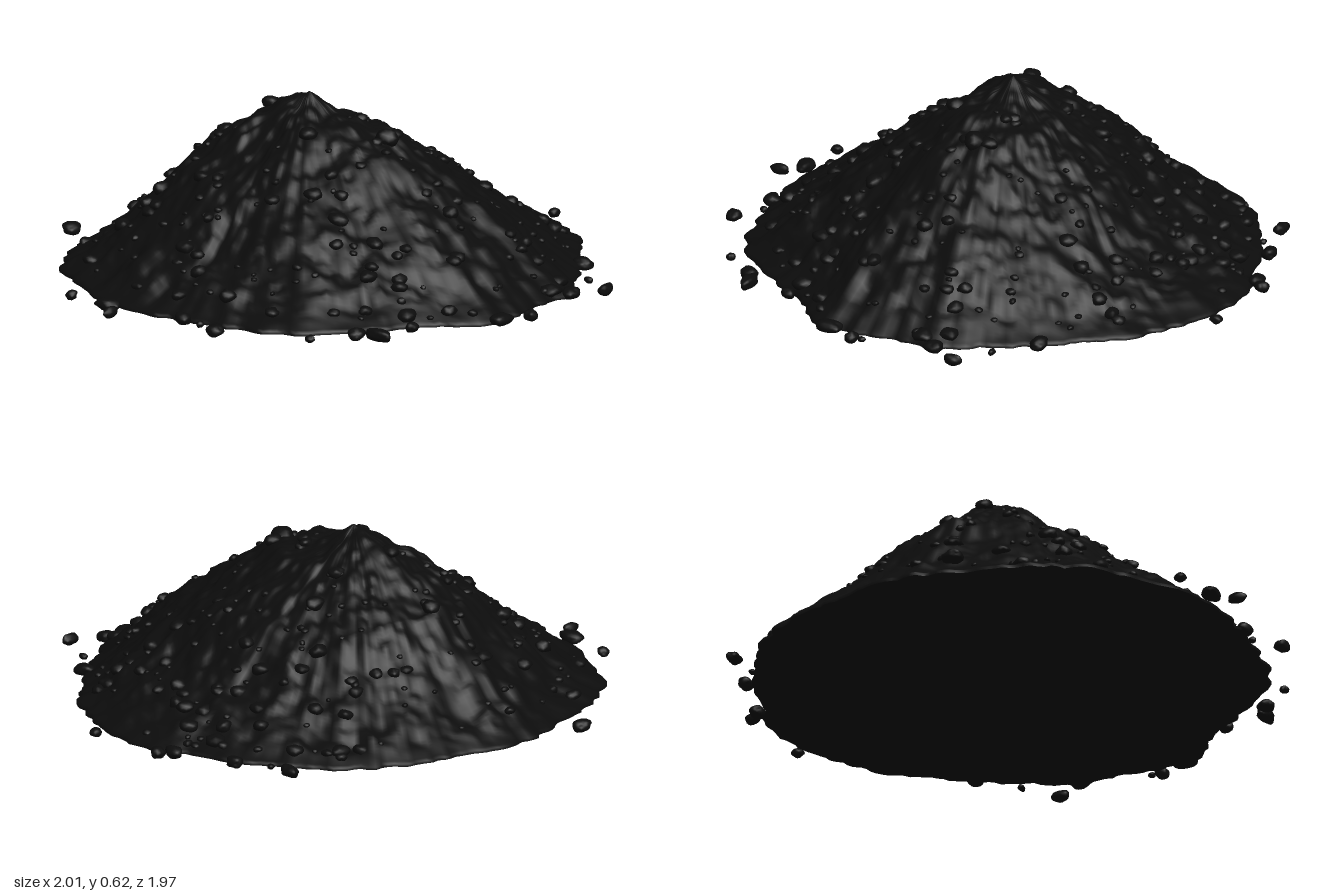
import * as THREE from 'three';
import { mergeGeometries, mergeVertices } from 'three/addons/utils/BufferGeometryUtils.js';

const SEG = 240, RINGS = 80, BASE = 0.015, PEAK_Z = -0.1;

// Foot radius every 15 degrees, from +x towards +z
const FOOT = [.94, .93, .92, .86, .86, .9, .87, .93, .83, .84, .89, .86,
  .86, .91, .92, .93, .91, .89, .91, .89, .92, .92, .9, .9];

// Slope heights at even steps from peak to foot: flanks, front and back
const FLANK = [.635, .56, .505, .445, .39, .325, .25, .18, .125, .07, .025];
const FRONT = [.635, .585, .55, .52, .465, .4, .335, .265, .185, .09, .025];
const BACK = [.635, .61, .555, .495, .45, .4, .3, .22, .145, .075, .025];

// Crumbs fallen around the foot: x, z, half sizes along x and z
const CRUMBS = [
  [-.24, -.955, .038, .033], [-.87, -.46, .022, .02], [-.965, -.215, .034, .018], [-.925, .21, .028, .034],
  [-.865, .1, .015, .015], [-.78, .515, .016, .02], [-.655, .62, .03, .03], [-.62, .69, .024, .05],
  [-.46, .71, .026, .02], [-.09, .945, .025, .024], [-.06, .925, .013, .012], [.31, .96, .034, .02],
  [.39, .82, .012, .018], [.955, .225, .022, .018], [.972, -.085, .026, .026], [.935, -.125, .025, .035],
  [.865, -.35, .026, .03], [.805, -.555, .024, .036], [.79, -.45, .012, .012], [-.9, -.28, .03, .05],
  [-.87, .03, .028, .03], [.51, .7, .03, .04], [-.2, .9, .05, .03], [.2, .89, .035, .028],
];

// Seeded random numbers
function seeded(seed) {
  return () => {
    seed = (seed * 1664525 + 1013904223) >>> 0;
    return seed / 4294967296;
  };
}

// Smooth value noise in -1..1
function hash(x, y, z) {
  let h = Math.imul(x, 374761393) ^ Math.imul(y, 668265263) ^ Math.imul(z, 2147483647);
  h = Math.imul(h ^ (h >>> 13), 1274126177);
  return ((h ^ (h >>> 16)) >>> 0) / 2147483648 - 1;
}
function noise(x, y, z) {
  const cell = [x, y, z].map(Math.floor);
  const [u, v, w] = [x, y, z].map((c, k) => (c - cell[k]) ** 2 * (3 - 2 * (c - cell[k])));
  let sum = 0;
  for (let i = 0; i < 8; i++) {
    const a = i & 1, b = (i >> 1) & 1, c = i >> 2;
    sum += hash(cell[0] + a, cell[1] + b, cell[2] + c) *
      (a ? u : 1 - u) * (b ? v : 1 - v) * (c ? w : 1 - w);
  }
  return sum;
}

function sample(table, t) {
  const f = Math.min(t, 0.9999) * (table.length - 1), i = Math.floor(f);
  return THREE.MathUtils.lerp(table[i], table[i + 1], f - i);
}

// Ragged outline of the foot
function footPoint(angle) {
  const f = angle / (Math.PI * 2) * FOOT.length, i = Math.floor(f), k = f - i;
  const n = FOOT.length, s = k * k * (3 - 2 * k);
  const c = Math.cos(angle), d = Math.sin(angle);
  const r = THREE.MathUtils.lerp(FOOT[i % n], FOOT[(i + 1) % n], s)
    + 0.014 * noise(c * 11, d * 11, 3) + 0.012 * noise(c * 26, d * 26, 7);
  return [r * c, r * d];
}

// Point on the heap: t runs from the peak (0) to the foot (1)
function heapPoint(angle, t) {
  const [fx, fz] = footPoint(angle);
  const x = fx * t, z = THREE.MathUtils.lerp(PEAK_Z, fz, t);
  const side = Math.cos(angle) ** 2;
  const ridge = sample(Math.sin(angle) > 0 ? FRONT : BACK, t);
  const rough = Math.min(1, (1 - t) * 8);
  const lumps = 0.016 * noise(x * 7, z * 7, 1) + 0.013 * noise(x * 16, z * 16, 5)
    + 0.009 * noise(x * 34, z * 34, 9);
  const y = THREE.MathUtils.lerp(ridge, sample(FLANK, t), side) + rough * lumps;
  return [x, Math.max(y, BASE + 0.008), z];
}

function heapGeometry() {
  const pos = [], index = [];
  for (let i = 0; i <= RINGS + 1; i++) {
    for (let j = 0; j < SEG; j++) {
      const angle = j / SEG * Math.PI * 2;
      const p = heapPoint(angle, Math.min(i / RINGS, 1));
      if (i > RINGS) p[1] = BASE; // short wall at the foot
      pos.push(...p);
      if (i > RINGS) continue;
      const a = i * SEG + j, b = i * SEG + (j + 1) % SEG;
      index.push(a, b, a + SEG);
      index.push(b, b + SEG, a + SEG);
    }
  }
  const g = new THREE.BufferGeometry();
  g.setAttribute('position', new THREE.Float32BufferAttribute(pos, 3));
  g.setIndex(index);
  g.computeVertexNormals();
  return g;
}

// Flat underside that follows the foot
function undersideGeometry() {
  const g = new THREE.CircleGeometry(1, SEG).rotateX(Math.PI / 2);
  const p = g.attributes.position;
  p.setY(0, BASE);
  for (let j = 0; j <= SEG; j++) {
    const [x, z] = footPoint((j % SEG) / SEG * Math.PI * 2);
    p.setXYZ(j + 1, x, BASE, z);
  }
  return g;
}

// Lumpy rounded clod
function clod(x, y, z, sx, sy, sz, id, detail = 2) {
  let g = new THREE.IcosahedronGeometry(1, detail);
  g.deleteAttribute('uv');
  g.deleteAttribute('normal');
  g = mergeVertices(g);
  const p = g.attributes.position, v = new THREE.Vector3();
  for (let i = 0; i < p.count; i++) {
    v.fromBufferAttribute(p, i);
    v.multiplyScalar(1 + 0.22 * noise(v.x * 1.6 + id * 5, v.y * 1.6, v.z * 1.6));
    p.setXYZ(i, v.x, v.y, v.z);
  }
  g.scale(sx, sy, sz).translate(x, y, z);
  g.computeVertexNormals();
  return g;
}

export function createModel() {
  const group = new THREE.Group();
  const soil = new THREE.MeshStandardMaterial({ color: 0x0c0c0c });
  const add = (name, geometry) => {
    const mesh = new THREE.Mesh(geometry, soil);
    mesh.name = name;
    group.add(mesh);
  };

  add('heap', heapGeometry());
  add('underside', undersideGeometry());

  // Clods half buried in the slopes, denser towards the foot
  const rand = seeded(41), clods = [];
  for (let i = 0; i < 260; i++) {
    const t = 0.08 + 0.89 * Math.sqrt(rand());
    const [x, y, z] = heapPoint(rand() * Math.PI * 2, t);
    const r = 0.009 + 0.021 * rand() ** 2;
    clods.push(clod(x, Math.max(y, BASE + r * 0.7), z, r * (0.9 + 0.5 * rand()), r * 0.8, r * (0.9 + 0.5 * rand()), i));
  }
  // A few larger clods that break the outline
  [[1.5, .33, .042], [1.6, .64, .03], [4.6, .62, .025], [4.75, .47, .03], [3.2, .77, .03], [.1, .78, .026]]
    .forEach(([angle, t, r], i) => {
      const [x, y, z] = heapPoint(angle, t);
      clods.push(clod(x, y, z, r, r * 0.8, r, i + 300));
    });
  add('slopeClods', mergeGeometries(clods));

  // Loose crumbs on the ground around the heap
  add('looseCrumbs', mergeGeometries(CRUMBS.map(([x, z, sx, sz], i) => {
    const h = Math.min(0.022, (sx + sz) * 0.4);
    return clod(x, 0.008 + h, z, sx, h, sz, i + 400, 3);
  })));
  return group;
}
